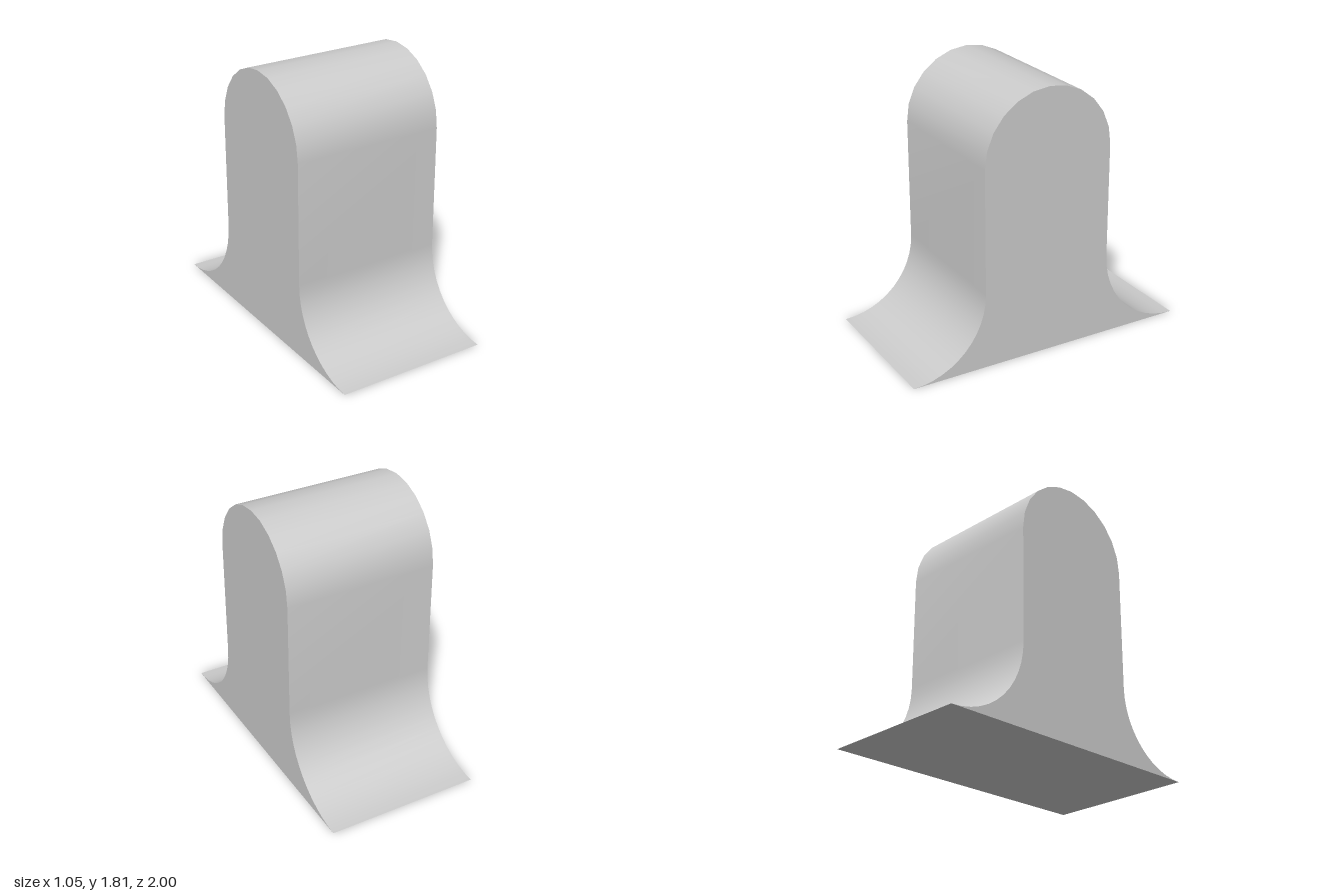
import * as THREE from 'three';
import { toCreasedNormals } from 'three/addons/utils/BufferGeometryUtils.js';

export function createModel() {
  const group = new THREE.Group();
  group.name = 'archedBlock';

  const width = 1.05;
  const front = 0.48, back = -0.435; // upright walls
  const archY = 1.355; // where the round top begins
  const archR = (front - back) / 2;
  const frontR = 1 - front, backR = 1 + back; // flared foot radii

  // Side profile: flat base, front flare, round top, back flare
  const profile = new THREE.Shape();
  profile.moveTo(-1, 0);
  profile.lineTo(1, 0);
  profile.absarc(1, frontR, frontR, Math.PI * 1.5, Math.PI, true);
  profile.absarc((front + back) / 2, archY, archR, 0, Math.PI, false);
  profile.absarc(-1, backR, backR, 0, -Math.PI / 2, true);

  // Extrude across the width, then turn the profile to run along z
  const geometry = new THREE.ExtrudeGeometry(profile, {
    depth: width, curveSegments: 6, bevelEnabled: false,
  });
  geometry.translate(0, 0, -width / 2);
  geometry.rotateY(-Math.PI / 2);

  const body = new THREE.Mesh(
    toCreasedNormals(geometry, 0.5),
    new THREE.MeshStandardMaterial({ color: 0xcccccc })
  );
  body.name = 'flaredBody';
  group.add(body);
  return group;
}
